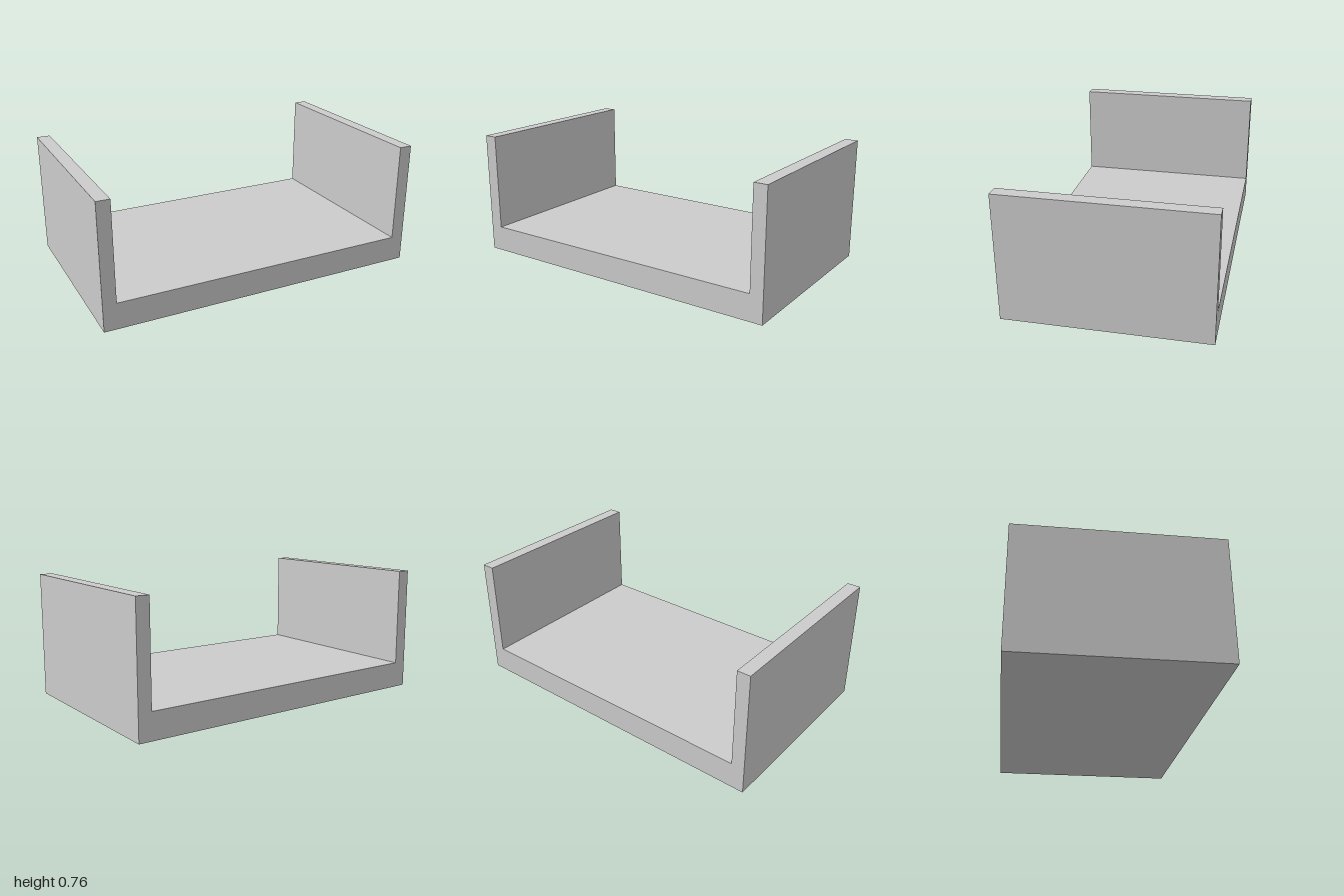
import * as THREE from 'three';

const WIDTH = 2, DEPTH = 1.2, HEIGHT = 0.76;
const WALL = 0.08, FLOOR = 0.16;

export function createModel() {
  const group = new THREE.Group();
  group.name = 'channelBracket';

  // U-shaped cross-section: thick floor with a thin wall at each side
  const x = WIDTH / 2, inner = x - WALL;
  const profile = new THREE.Shape([
    [-x, 0], [x, 0], [x, HEIGHT], [inner, HEIGHT],
    [inner, FLOOR], [-inner, FLOOR], [-inner, HEIGHT], [-x, HEIGHT],
  ].map(([px, py]) => new THREE.Vector2(px, py)));

  // One solid body, extruded front to back and centred on z
  const geometry = new THREE.ExtrudeGeometry(profile, { depth: DEPTH, bevelEnabled: false });
  geometry.translate(0, 0, -DEPTH / 2);

  const channel = new THREE.Mesh(
    geometry,
    new THREE.MeshStandardMaterial({ color: 0xcccccc, flatShading: true }),
  );
  channel.name = 'channel';
  group.add(channel);
  return group;
}
